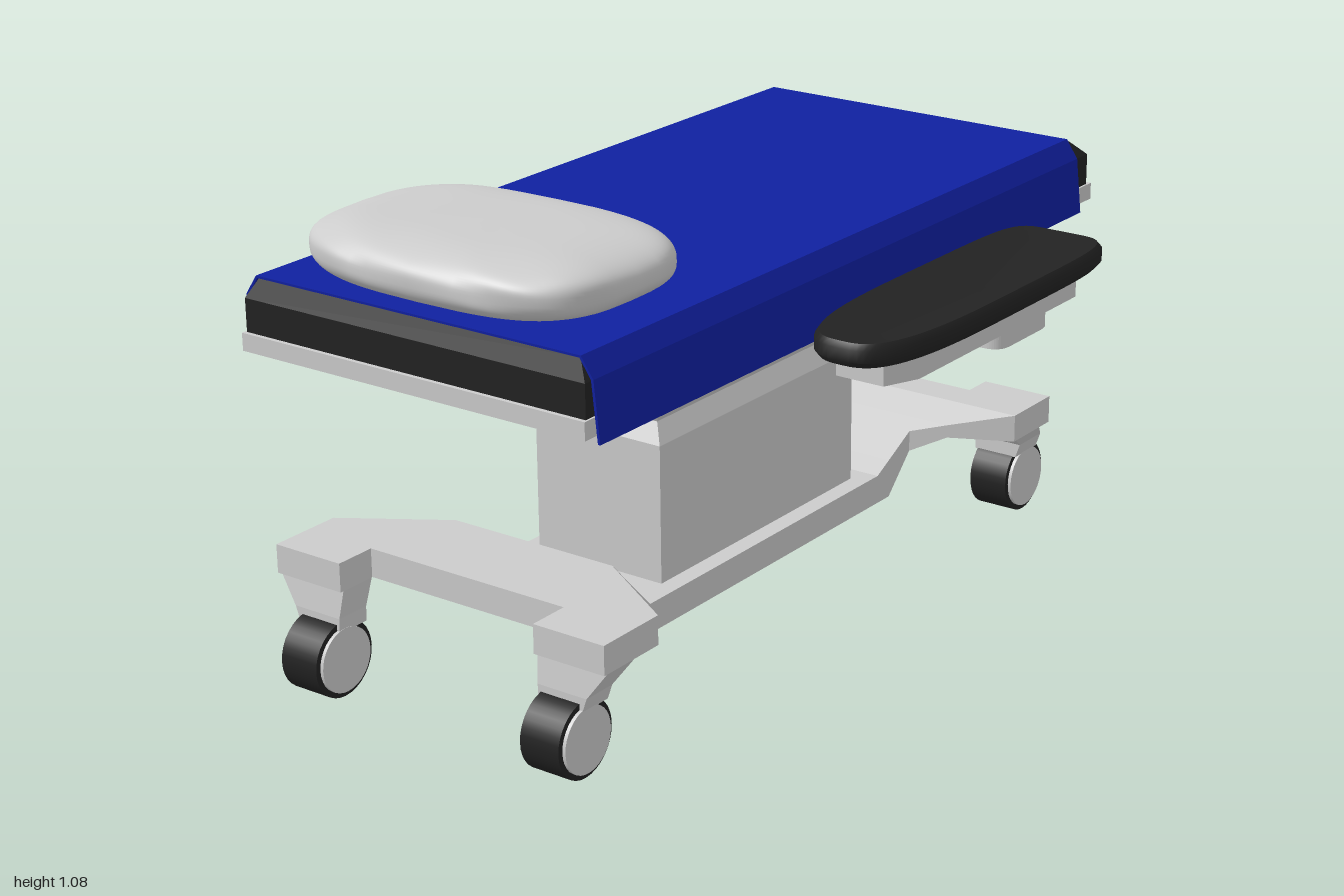
import * as THREE from 'three';
import { toCreasedNormals } from 'three/addons/utils/BufferGeometryUtils.js';

const CX = -0.19; // centre line of the table
const mat = (color, extra = {}) => new THREE.MeshStandardMaterial({ color, ...extra });
const grey = mat(0xcccccc);
const black = mat(0x222222);
const blue = mat(0x1020a0, { side: THREE.DoubleSide });

// Skin a stack of rings (counter-clockwise seen from the last ring) with flat caps.
function loft(rings) {
  const pos = [], n = rings[0].length, last = rings[rings.length - 1];
  const tri = (...pts) => pts.forEach(p => pos.push(...p));
  for (let k = 0; k + 1 < rings.length; k++) {
    for (let i = 0; i < n; i++) {
      const j = (i + 1) % n, a = rings[k], b = rings[k + 1];
      tri(a[i], a[j], b[j]);
      tri(a[i], b[j], b[i]);
    }
  }
  for (let i = 1; i + 1 < n; i++) {
    tri(rings[0][0], rings[0][i + 1], rings[0][i]);
    tri(last[0], last[i], last[i + 1]);
  }
  const g = new THREE.BufferGeometry();
  g.setAttribute('position', new THREE.Float32BufferAttribute(pos, 3));
  g.computeVertexNormals();
  return g;
}
const ringY = (y, x0, x1, z0, z1) => [[x0, y, z1], [x1, y, z1], [x1, y, z0], [x0, y, z0]];
const ringZ = (z, y0, y1, w) => [[CX - w, y0, z], [CX + w, y0, z], [CX + w, y1, z], [CX - w, y1, z]];

export function createModel() {
  const model = new THREE.Group();
  const add = (name, geometry, material = grey, parent = model) => {
    const mesh = new THREE.Mesh(geometry, material);
    mesh.name = name;
    parent.add(mesh);
    return mesh;
  };
  const box = (name, x0, x1, y0, y1, z0, z1, parent = model) => {
    const m = add(name, new THREE.BoxGeometry(x1 - x0, y1 - y0, z1 - z0), grey, parent);
    m.position.set((x0 + x1) / 2, (y0 + y1) / 2, (z0 + z1) / 2);
    return m;
  };

  // Table top: board, chamfered mattress, draped sheet
  box('tableBoard', -0.645, 0.265, 0.78, 0.82, -1, 0.985);
  add('mattress', loft([
    ringY(0.82, -0.64, 0.26, -0.985, 0.975),
    ringY(0.895, -0.64, 0.26, -0.985, 0.975),
    ringY(0.938, -0.615, 0.235, -0.93, 0.955),
  ]), black);
  const sheet = new THREE.Shape([
    [-0.656, 0.788], [-0.65, 0.788], [-0.643, 0.898], [-0.616, 0.939],
    [0.236, 0.939], [0.263, 0.898], [0.277, 0.768], [0.283, 0.768],
    [0.269, 0.9], [0.239, 0.944], [-0.619, 0.944], [-0.649, 0.9],
  ].map(p => new THREE.Vector2(...p)));
  add('sheet', new THREE.ExtrudeGeometry(sheet, { depth: 1.88, bevelEnabled: false }), blue)
    .position.z = -0.92;

  // Pillow: a squared-off ellipsoid with soft folds and thinner corners
  const pillow = new THREE.SphereGeometry(1, 64, 40);
  const p = pillow.attributes.position;
  const pw = (v, e) => Math.sign(v) * Math.abs(v) ** e;
  for (let i = 0; i < p.count; i++) {
    const x = p.getX(i), y = p.getY(i), z = p.getZ(i);
    const r = Math.hypot(x, z) || 1e-6, c = r ** 0.42;
    const px = c * pw(x / r, 0.5), pz = c * pw(z / r, 0.5);
    const fold = 0.006 * Math.sin(9 * px + 4 * y) * Math.sin(5 * pz + 2) * r;
    const thin = 1 - 0.18 * px ** 4 * pz ** 4 - (y > 0 ? 0.22 * Math.max(0, pz) ** 4 : 0);
    p.setXYZ(i,
      -0.197 + px * (0.385 - 0.018 * pz ** 2) + 0.5 * fold,
      1.01 + pw(y, 0.75) * 0.067 * thin + 0.5 * fold,
      0.702 + pz * (0.263 - 0.03 * px ** 2) + fold);
  }
  pillow.computeVertexNormals();
  add('pillow', pillow);

  // Column with bellows: [height, inset]
  add('column', loft([
    [0.17, 0], [0.51, 0], [0.555, 0.025], [0.585, 0.01], [0.62, 0.024],
    [0.64, 0], [0.67, 0.015], [0.7, 0], [0.785, 0],
  ].map(([y, s]) => ringY(y, -0.362 + s, -0.017 - s, -0.38 + s, 0.375 - s))));

  // Base beam rising and flaring into a crossbar at each end: [z, bottom, top, half width]
  add('baseBeam', loft([
    [-0.77, 0.245, 0.312, 0.4475], [-0.68, 0.245, 0.312, 0.4475], [-0.61, 0.245, 0.277, 0.3],
    [-0.57, 0.205, 0.256, 0.2175], [-0.48, 0.115, 0.21, 0.2175], [-0.43, 0.115, 0.185, 0.2175],
    [0.475, 0.115, 0.185, 0.2175], [0.515, 0.115, 0.227, 0.2175], [0.605, 0.225, 0.322, 0.2175],
    [0.63, 0.255, 0.322, 0.257], [0.75, 0.255, 0.322, 0.4475], [0.83, 0.255, 0.322, 0.4475],
  ].map(s => ringZ(...s))));

  // Feet and casters at the four corners
  const ends = [
    { foot: [0.83, 0.93], top: [0.83, 0.92], low: [0.845, 0.93], wheel: 0.913, y: [0.255, 0.322] },
    { foot: [-0.845, -0.77], top: [-0.8, -0.69], low: [-0.89, -0.79], wheel: -0.845, y: [0.245, 0.312] },
  ];
  for (const e of ends) {
    for (const side of [-1, 1]) {
      const caster = new THREE.Group();
      caster.name = 'caster';
      model.add(caster);
      const span = (a, b) => [CX + side * a, CX + side * b].sort((m, n) => m - n);
      box('foot', ...span(0.265, 0.4475), ...e.y, ...e.foot, caster);
      add('casterFork', loft([
        ringY(0.155, ...span(0.274, 0.388), ...e.low),
        ringY(0.19, ...span(0.273, 0.4), ...e.low),
        ringY(e.y[0], ...span(0.266, 0.447), ...e.top),
      ]), grey, caster);
      for (const [name, r, w, m] of [['tyre', 0.088, 0.1, black], ['wheelDisc', 0.075, 0.116, grey]]) {
        const wheel = add(name, new THREE.CylinderGeometry(r, r, w, 32), m, caster);
        wheel.rotation.z = Math.PI / 2;
        wheel.position.set(CX + side * 0.331, 0.088, e.wheel);
      }
    }
  }

  // Arm support: bracket under the board, clamp, bar, block and plate
  const arm = new THREE.Group();
  arm.name = 'armSupport';
  model.add(arm);
  box('bracket', 0.1, 0.255, 0.757, 0.781, -0.21, -0.15, arm);
  box('clamp', 0.218, 0.28, 0.725, 0.752, -0.2, -0.16, arm);
  const pin = add('clampPin', new THREE.CylinderGeometry(0.009, 0.009, 0.06, 12), grey, arm);
  pin.position.set(0.238, 0.742, -0.18);
  box('supportBar', 0.275, 0.5, 0.72, 0.785, -0.205, -0.155, arm);
  const block = new THREE.Shape();
  block.moveTo(0.44, 0.285).lineTo(0.44, 0.065).lineTo(0.53, 0.065)
    .quadraticCurveTo(0.57, 0.065, 0.57, 0.11).lineTo(0.57, 0.24)
    .quadraticCurveTo(0.57, 0.285, 0.53, 0.285);
  const plate = new THREE.Shape([
    [0.47, -0.42], [0.585, -0.42], [0.62, -0.34], [0.62, 0.3],
    [0.59, 0.335], [0.465, 0.335], [0.435, 0.3], [0.435, -0.34],
  ].map(q => new THREE.Vector2(...q)));
  for (const [name, shape, y, h] of [['supportBlock', block, 0.72, 0.072], ['armPlate', plate, 0.79, 0.062]]) {
    const m = add(name, new THREE.ExtrudeGeometry(shape, { depth: h, bevelEnabled: false }), grey, arm);
    m.rotation.x = -Math.PI / 2;
    m.position.y = y;
  }

  // Arm pad: squarer at the back, rounder at the front, slightly dished: [scale, height]
  const padRing = (s, y) => Array.from({ length: 72 }, (_, i) => {
    const t = (i / 72) * Math.PI * 2, e = 2 / (Math.sin(t) > 0 ? 6 : 3);
    return [0.52 + s * 0.135 * pw(Math.cos(t), e), y, 0.035 - (0.455 - (1 - s) * 0.13) * pw(Math.sin(t), e)];
  });
  const pad = loft([
    [0.4, 0.849], [0.75, 0.844], [0.92, 0.841], [1, 0.854], [1, 0.88],
    [0.93, 0.893], [0.75, 0.892], [0.4, 0.886],
  ].map(q => padRing(...q)));
  add('armPad', toCreasedNormals(pad, 0.7), black, arm);

  return model;
}
